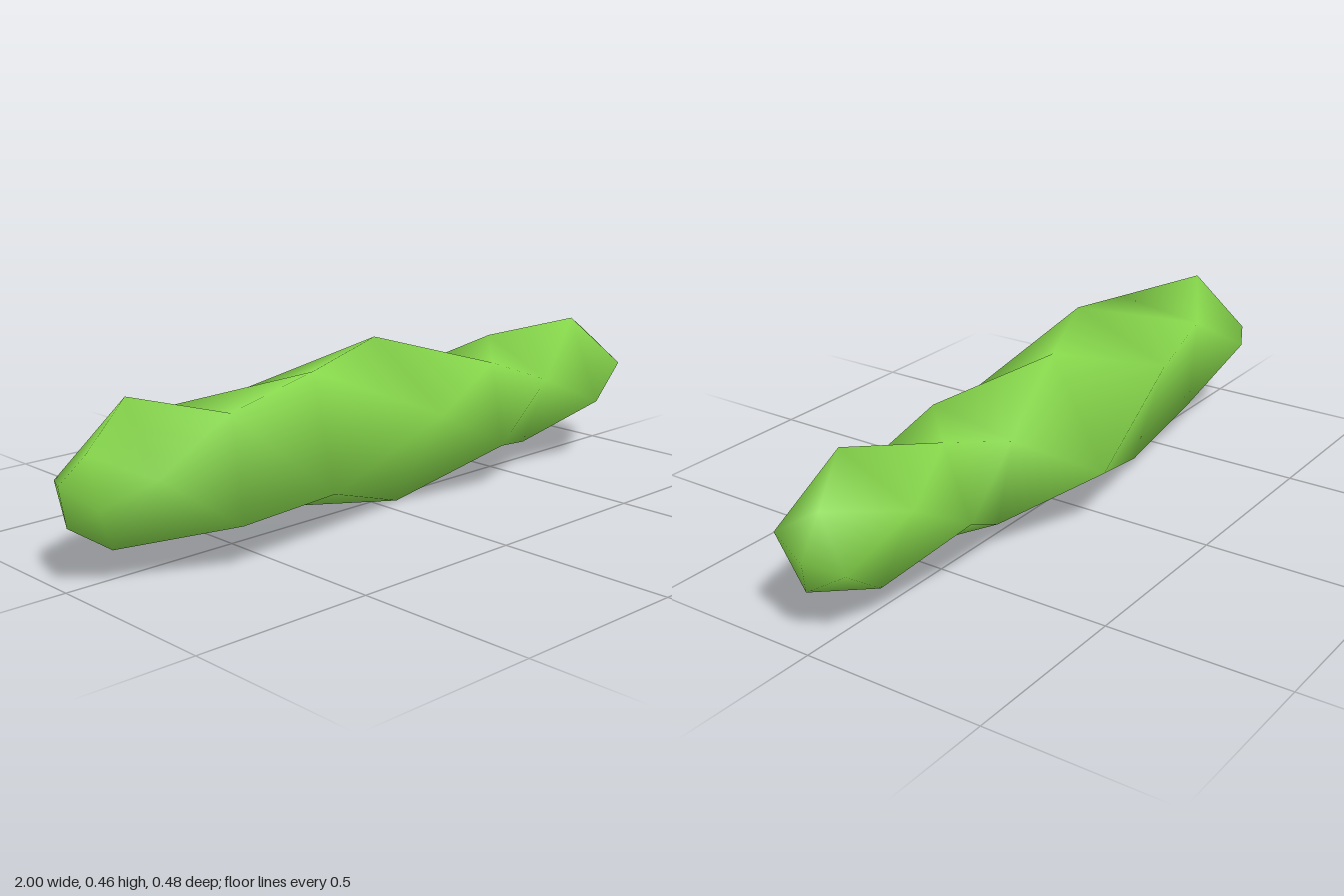
import * as THREE from 'three';

// Four-cornered cross-sections from right end to left end.
// Corners run top, back, bottom, front, each as x, y, z.
const rings = [
  [[-0.965, 0.345, 0.06], [-0.96, 0.25, -0.09], [-1, 0.165, 0.02], [-0.965, 0.22, 0.105]],
  [[-0.81, 0.445, 0], [-0.83, 0.24, -0.155], [-0.89, 0.09, 0.04], [-0.86, 0.29, 0.195]],
  [[-0.62, 0.4, 0.16], [-0.62, 0.365, -0.11], [-0.65, 0.085, -0.075], [-0.62, 0.125, 0.2]],
  [[-0.33, 0.45, 0.13], [-0.3, 0.345, -0.185], [-0.3, 0.032, -0.09], [-0.3, 0.13, 0.178]],
  [[0.05, 0.46, -0.04], [0.1, 0.18, -0.24], [0.06, 0, 0.04], [0.04, 0.29, 0.237]],
  [[0.34, 0.37, 0.14], [0.35, 0.335, -0.12], [0.34, 0.08, -0.065], [0.34, 0.135, 0.185]],
  [[0.55, 0.39, -0.06], [0.55, 0.19, -0.14], [0.58, 0.075, 0.06], [0.55, 0.29, 0.167]],
  [[0.78, 0.43, 0.07], [0.77, 0.32, -0.145], [0.78, 0.087, -0.04], [0.77, 0.19, 0.185]],
  [[0.955, 0.36, -0.02], [0.95, 0.21, -0.087], [0.95, 0.13, 0.04], [0.96, 0.27, 0.12]],
];
const rightTip = [-1, 0.26, -0.01];
const leftTip = [1, 0.24, 0];

function loft() {
  const n = 4;
  const points = [...rings.flat(), rightTip, leftTip].map(p => new THREE.Vector3(...p));
  const last = (rings.length - 1) * n;
  const tipA = rings.length * n, tipB = tipA + 1;
  const index = [];
  for (let k = 0; k < n; k++) {
    const k1 = (k + 1) % n;
    // Skin between neighbouring sections, split along the shorter diagonal
    for (let r = 0; r < last; r += n) {
      const a = r + k, b = r + k1, c = a + n, d = b + n;
      if (points[a].distanceTo(points[d]) < points[b].distanceTo(points[c])) index.push(a, c, d, a, d, b);
      else index.push(a, c, b, b, c, d);
    }
    // Rounded end caps
    index.push(tipA, k, k1, tipB, last + k1, last + k);
  }
  const geometry = new THREE.BufferGeometry().setFromPoints(points);
  geometry.setIndex(index);
  geometry.computeVertexNormals();
  return geometry;
}

export function createModel() {
  const group = new THREE.Group();
  group.name = 'lumpyGreenBar';
  const green = new THREE.MeshStandardMaterial({ color: 0x86d64b });
  green.name = 'leaf green';
  const body = new THREE.Mesh(loft(), green);
  body.name = 'body';
  group.add(body);
  return group;
}
